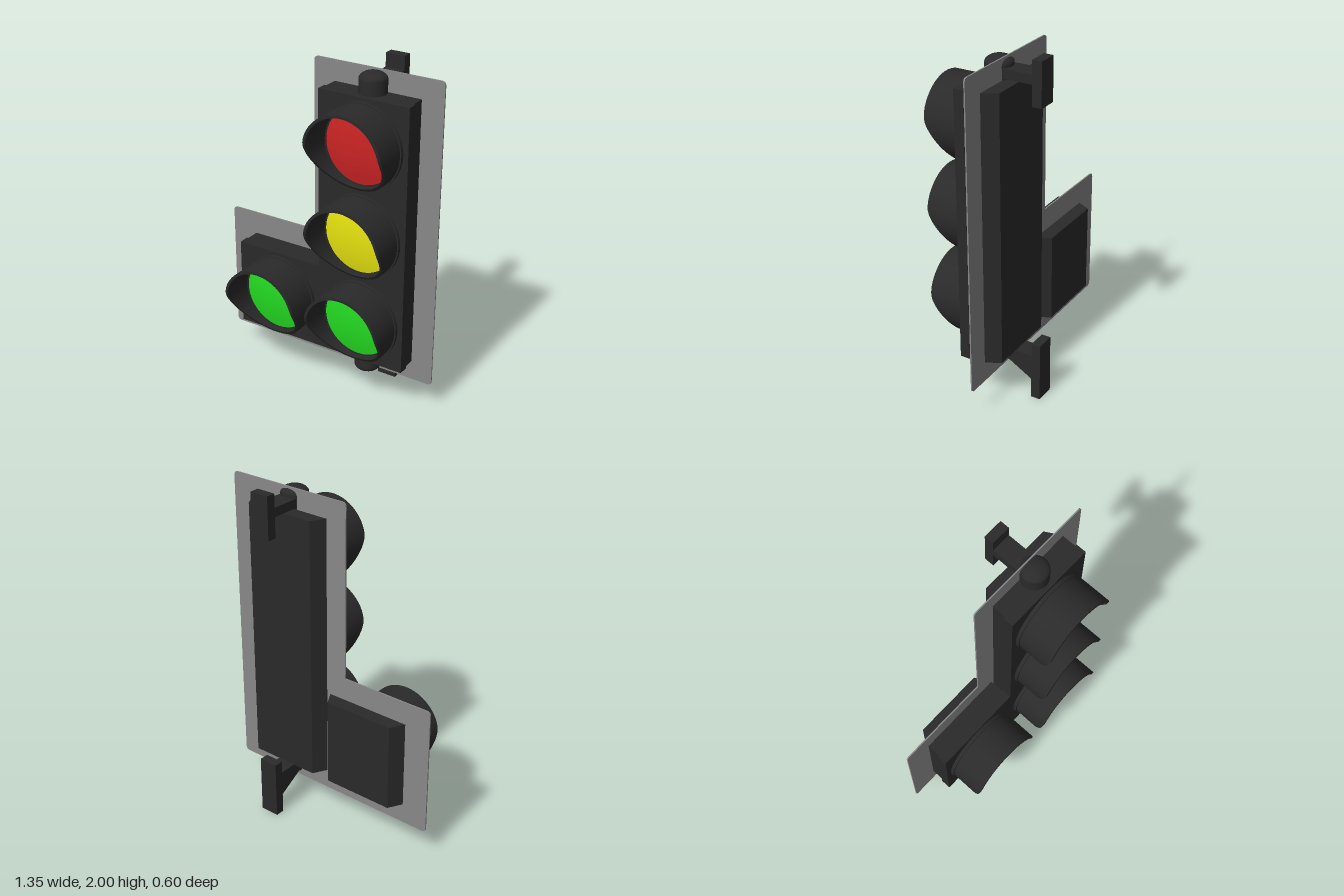
import * as THREE from 'three';
import { toCreasedNormals } from 'three/addons/utils/BufferGeometryUtils.js';

const paint = (color, side = THREE.FrontSide) => new THREE.MeshStandardMaterial({ color, side });
const dark = paint(0x2a2a2a);
const grey = paint(0x888888);
const POLE_X = 0.283;

function add(parent, name, geometry, material = dark) {
  const mesh = new THREE.Mesh(geometry, material);
  mesh.name = name;
  parent.add(mesh);
  return mesh;
}

// Extrude a polygon, with optional rounded corners given as [x, y, radius]
function slab(points, depth) {
  const shape = new THREE.Shape();
  const n = points.length;
  points.forEach(([x, y, r = 0], i) => {
    const corner = new THREE.Vector2(x, y);
    const toward = (p) => new THREE.Vector2(p[0], p[1]).sub(corner).setLength(r).add(corner);
    const a = toward(points[(i + n - 1) % n]);
    const b = toward(points[(i + 1) % n]);
    if (i === 0) shape.moveTo(a.x, a.y);
    else shape.lineTo(a.x, a.y);
    if (r) shape.quadraticCurveTo(x, y, b.x, b.y);
  });
  shape.closePath();
  return new THREE.ExtrudeGeometry(shape, { depth, bevelEnabled: false, curveSegments: 6 });
}

// Revolve [radius, z] points around the z axis
function turned(points, segments = 64) {
  const geo = new THREE.LatheGeometry(points.map(([r, z]) => new THREE.Vector2(r, z)), segments);
  return geo.rotateX(Math.PI / 2);
}

// Front edge of the visor: full length on top, curving into a slanted cut below
function visorReach(y) {
  const slant = 0.125 + (y + 0.235) * 0.66;
  const k = 0.022;
  const d = 0.3 - slant;
  return Math.min(0.3, (0.3 + slant - Math.sqrt(d * d + k * k)) / 2 + 0.002);
}

function makeSignal(name, x, y, color) {
  const signal = new THREE.Group();
  signal.name = name;
  signal.position.set(x, y, 0);

  const ring = turned([[0.243, 0.07], [0.243, 0.1], [0.212, 0.1], [0.212, 0.07]]);
  add(signal, 'lensRing', toCreasedNormals(ring, 0.6));

  const visor = turned([[0.235, 0.09], [0.235, 0.3], [0.219, 0.3], [0.219, 0.09]], 72);
  const p = visor.attributes.position;
  for (let i = 0; i < p.count; i++) {
    if (p.getZ(i) > 0.2) p.setZ(i, visorReach(p.getY(i)));
  }
  add(signal, 'visor', toCreasedNormals(visor, 0.6));

  // Shallow domed lens
  const dome = [];
  for (let i = 0; i <= 8; i++) {
    const r = 0.216 * (1 - i / 8);
    dome.push([r, 0.095 + 0.025 * (1 - (r / 0.216) ** 2)]);
  }
  add(signal, 'lens', turned(dome), paint(color));
  return signal;
}

// Housing with a back that tapers in from both sides
function makeHousing(x0, x1, y0, y1) {
  const t = 0.048;
  const outline = [[x0, -0.03], [x1, -0.03], [x1, 0.068], [x1 - t, 0.152], [x0 + t, 0.152], [x0, 0.068]];
  return slab(outline, y1 - y0).rotateX(-Math.PI / 2).translate(0, y0, 0);
}

// Upright cap with a rounded end; dir is +1 for the top, -1 for the bottom
function makeCap(yBase, dir) {
  const pts = [[0.077, -0.02], [0.077, 0.076]];
  for (let i = 1; i <= 8; i++) {
    const a = (i / 8) * Math.PI / 2;
    pts.push([0.077 * Math.cos(a), 0.076 + 0.04 * Math.sin(a)]);
  }
  const geo = new THREE.LatheGeometry(pts.map(([r, y]) => new THREE.Vector2(Math.max(r, 0), y)), 40);
  if (dir < 0) geo.rotateX(Math.PI);
  return geo.translate(POLE_X, yBase, -0.02);
}

// Side profile given as [z, y], extruded across the bracket width
function bracketPart(profile) {
  const w = 0.115;
  return slab(profile.map(([z, y]) => [-z, y]), w).rotateY(Math.PI / 2).translate(POLE_X - w / 2, 0, 0);
}

export function createModel() {
  const model = new THREE.Group();
  model.name = 'trafficLight';

  // Thin L-shaped backing plate
  const r = 0.025;
  add(model, 'backPlate', slab([
    [-0.677, 0.167, r], [0.675, 0.167, r], [0.675, 1.976, r],
    [-0.105, 1.976, r], [-0.105, 0.945], [-0.677, 0.945, r],
  ], 0.008).translate(0, 0, -0.07), grey);

  // Front frames and the housings behind them
  add(model, 'frontFrame', slab([
    [-0.53, 0.286], [0.555, 0.286], [0.555, 1.858],
    [0.01, 1.858], [0.01, 0.81], [-0.53, 0.81],
  ], 0.06).translate(0, 0, 0.02));
  add(model, 'mainHousing', makeHousing(0.023, 0.545, 0.286, 1.858));
  add(model, 'sideHousing', makeHousing(-0.52, 0.002, 0.286, 0.81));

  // Signals
  [
    ['redSignal', POLE_X, 1.595, 0xcc2424],
    ['yellowSignal', POLE_X, 1.072, 0xe8e410],
    ['greenSignal', POLE_X, 0.547, 0x24dc22],
    ['sideGreenSignal', -0.258, 0.547, 0x24dc22],
  ].forEach((s) => model.add(makeSignal(...s)));

  // End caps
  add(model, 'topCap', makeCap(1.858, 1));
  add(model, 'bottomCap', makeCap(0.286, -1));

  // Wall brackets
  const rect = (z0, z1, y0, y1) => [[z0, y0], [z1, y0], [z1, y1], [z0, y1]];
  const brackets = new THREE.Group();
  brackets.name = 'brackets';
  model.add(brackets);
  add(brackets, 'topBracketPlate', bracketPart(rect(-0.245, -0.3, 1.752, 2)));
  add(brackets, 'topBracketArm', bracketPart(rect(-0.075, -0.25, 1.87, 1.922)));
  add(brackets, 'bottomBracketPlate', bracketPart(rect(-0.245, -0.3, 0, 0.35)));
  add(brackets, 'bottomBracketArm', bracketPart([[-0.075, 0.218], [-0.25, 0.117], [-0.25, 0.275], [-0.075, 0.275]]));

  return model;
}
